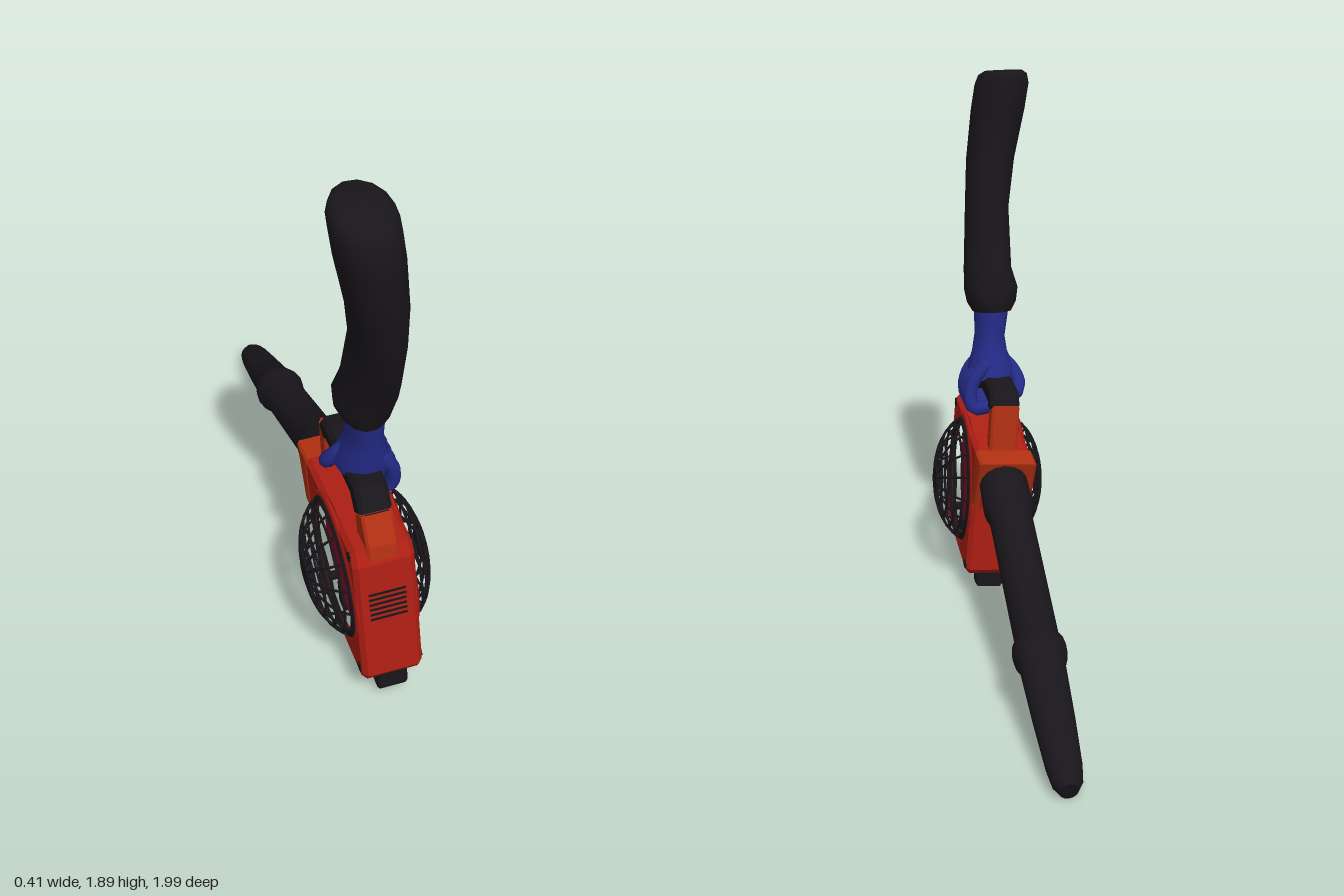
import * as THREE from 'three';
import { toCreasedNormals } from 'three/addons/utils/BufferGeometryUtils.js';

const V = (x, y, z) => new THREE.Vector3(x, y, z);
const mat = (color) => new THREE.MeshStandardMaterial({ color });
const black = mat(0x19161b), red = mat(0xb01f14), orange = mat(0xb23012);
const crimson = mat(0x7d1228), blue = mat(0x252b88);

function add(parent, name, geometry, material, x = 0, y = 0, z = 0) {
  const m = new THREE.Mesh(geometry, material);
  m.name = name;
  m.position.set(x, y, z);
  parent.add(m);
  return m;
}

// Closed skin over elliptical sections [x, y, z, radius along u, radius along v]
function loft(sections, u, v, n = 16, crease = 0.8) {
  const pos = [], index = [];
  const axis = V(...sections.at(-1).slice(0, 3)).sub(V(...sections[0].slice(0, 3)));
  const flip = u.clone().cross(v).dot(axis) < 0;
  const tri = (a, b, c) => index.push(...(flip ? [a, c, b] : [a, b, c]));
  sections.forEach(([x, y, z, ra, rb]) => {
    for (let i = 0; i < n; i++) {
      const a = (i / n) * Math.PI * 2;
      const p = V(x, y, z).addScaledVector(u, ra * Math.cos(a)).addScaledVector(v, rb * Math.sin(a));
      pos.push(p.x, p.y, p.z);
    }
  });
  const last = sections.length - 1, first = sections.length * n;
  pos.push(...sections[0].slice(0, 3), ...sections[last].slice(0, 3));
  for (let i = 0; i < n; i++) {
    const j = (i + 1) % n;
    for (let k = 0; k < last; k++) {
      const a = k * n + i, b = k * n + j;
      tri(a, b, b + n);
      tri(a, b + n, a + n);
    }
    tri(first, j, i);
    tri(first + 1, last * n + i, last * n + j);
  }
  const g = new THREE.BufferGeometry();
  g.setAttribute('position', new THREE.Float32BufferAttribute(pos, 3));
  g.setIndex(index);
  return toCreasedNormals(g, crease);
}

// Side outline of [z, y] points, extruded across x with bevelled edges
function slab(points, width, bevel, hole) {
  const shape = new THREE.Shape(points.map(([z, y]) => new THREE.Vector2(z, y)));
  if (hole) shape.holes.push(new THREE.Path().absarc(...hole, 0, Math.PI * 2, true));
  const g = new THREE.ExtrudeGeometry(shape, {
    depth: width - 2 * bevel, bevelEnabled: true, bevelThickness: bevel,
    bevelSize: bevel, bevelOffset: -bevel, bevelSegments: 1, curveSegments: 16,
  });
  g.translate(0, 0, -(width - 2 * bevel) / 2);
  return g.rotateY(-Math.PI / 2);
}

// Rounded finger along a path
function finger(parent, name, points, r) {
  const curve = new THREE.CatmullRomCurve3(points);
  add(parent, name, new THREE.TubeGeometry(curve, 12, r, 8), blue);
  for (const p of [points[0], points.at(-1)])
    add(parent, name + 'End', new THREE.SphereGeometry(r, 8, 6), blue, p.x, p.y, p.z);
}

const FAN = { y: 0.385, z: 0.633 };

// Domed wire guard, built facing +z and turned to one side
function fanGuard(side) {
  const g = new THREE.Group();
  g.name = side > 0 ? 'leftFanGuard' : 'rightFanGuard';
  const height = (r) => 0.07 + 0.13 * Math.sqrt(Math.max(0, 1 - (r / 0.235) ** 2));
  add(g, 'guardRim', new THREE.TorusGeometry(0.222, 0.013, 6, 16), black, 0, 0, 0.1);
  add(g, 'raisedSurround', new THREE.TorusGeometry(0.246, 0.012, 4, 32), red, 0, 0, 0.095);
  for (const r of [0.1, 0.145, 0.185, 0.21])
    add(g, 'guardRing', new THREE.TorusGeometry(r, 0.0045, 5, 32), black, 0, 0, height(r));
  for (let i = 0; i < 16; i++) {
    const a = (i / 16) * Math.PI * 2;
    const pts = [0.03, 0.09, 0.14, 0.18, 0.21, 0.226].map(
      (r) => V(r * Math.cos(a), r * Math.sin(a), height(r)));
    add(g, 'guardSpoke', new THREE.TubeGeometry(new THREE.CatmullRomCurve3(pts), 10, 0.0045, 5), black);
  }
  add(g, 'guardHub', new THREE.CylinderGeometry(0.052, 0.056, 0.014, 16).rotateX(Math.PI / 2), black, 0, 0, 0.194);
  // Fan face recessed into the housing
  add(g, 'fanDisc', new THREE.CylinderGeometry(0.225, 0.225, 0.01, 32).rotateX(Math.PI / 2), crimson, 0, 0, 0.06);
  g.position.set(0, FAN.y, FAN.z);
  g.rotation.y = side * Math.PI / 2;
  return g;
}

function blower() {
  const g = new THREE.Group();
  g.name = 'blowerBody';
  // Housing with the air outlet
  add(g, 'housing', slab([
    [0.895, 0.12], [0.42, 0.088], [0.398, 0.11], [0.375, 0.4], [0.31, 0.4],
    [0.245, 0.595], [0.77, 0.643], [0.855, 0.648], [0.882, 0.6], [0.915, 0.15],
  ], 0.2, 0.016, [FAN.z, FAN.y, 0.215]), red);
  add(g, 'outletCover', slab([[0.37, 0.402], [0.312, 0.398], [0.242, 0.597], [0.35, 0.608]], 0.206, 0.008), orange);
  g.add(fanGuard(1), fanGuard(-1));

  // Handle posts and grip
  add(g, 'frontHandlePost', slab([[0.878, 0.61], [0.87, 0.66], [0.822, 0.76], [0.75, 0.71], [0.76, 0.61]], 0.1, 0.008), orange);
  add(g, 'backHandlePost', slab([[0.353, 0.59], [0.422, 0.59], [0.426, 0.74], [0.362, 0.775]], 0.1, 0.008), orange);
  add(g, 'handleGrip', slab([
    [0.825, 0.755], [0.775, 0.83], [0.41, 0.82], [0.362, 0.765],
    [0.426, 0.73], [0.45, 0.752], [0.715, 0.758], [0.755, 0.7],
  ], 0.106, 0.014), black);

  // Feet
  for (const [z, y] of [[0.865, 0.05], [0.475, 0.02]])
    add(g, 'foot', slab([[z - 0.03, y], [z + 0.025, y], [z + 0.04, y + 0.02], [z + 0.036, y + 0.1], [z - 0.036, y + 0.1]], 0.1, 0.008), black);

  // Corner screws on both sides
  for (const [z, y] of [[0.838, 0.618], [0.878, 0.165], [0.425, 0.125]])
    add(g, 'screw', new THREE.CylinderGeometry(0.016, 0.016, 0.208, 10).rotateZ(Math.PI / 2), black, 0, y, z);

  // Front vent slots
  for (let i = 0; i < 6; i++)
    add(g, 'ventSlot', new THREE.BoxGeometry(0.12, 0.007, 0.006), black, 0, 0.385 + i * 0.02, 0.8975 - i * 0.0014);

  // Lean about the middle of the housing
  g.rotation.z = 0.07;
  g.position.set(0.37 * Math.sin(0.07), 0.37 * (1 - Math.cos(0.07)), 0);
  return g;
}

export function createModel() {
  const model = new THREE.Group();
  model.name = 'handHeldBlower';
  model.add(blower());

  // Blowing tube with its two collars: [distance, radius across, radius up]
  const start = V(-0.002, 0.513, 0.285), end = V(0.025, 0.045, -0.985);
  const tubeUp = V(0, 1.27, -0.468).normalize();
  const tube = [
    [0, 0.086, 0.086], [0.1, 0.09, 0.088], [0.118, 0.086, 0.084], [0.14, 0.077, 0.077],
    [0.56, 0.075, 0.072], [0.575, 0.086, 0.083], [0.6, 0.091, 0.088], [0.625, 0.086, 0.083],
    [0.645, 0.076, 0.068], [0.8, 0.068, 0.058], [0.93, 0.058, 0.047], [0.98, 0.048, 0.041], [1, 0.03, 0.034],
  ].map(([t, a, b]) => [...start.clone().lerp(end, t).toArray(), a, b]);
  add(model, 'blowingTube', loft(tube, V(1, 0, 0), tubeUp, 16), black);

  // Sleeved arm
  add(model, 'sleeve', loft([
    [-0.03, 1.04, 0.67, 0.072, 0.092], [-0.03, 1.075, 0.675, 0.092, 0.102],
    [-0.03, 1.12, 0.687, 0.1, 0.106], [-0.022, 1.19, 0.713, 0.089, 0.11],
    [-0.035, 1.4, 0.805, 0.081, 0.12], [-0.058, 1.57, 0.855, 0.09, 0.114],
    [-0.09, 1.75, 0.871, 0.1, 0.128], [-0.105, 1.84, 0.873, 0.1, 0.127],
    [-0.108, 1.875, 0.868, 0.09, 0.115], [-0.11, 1.89, 0.862, 0.068, 0.09],
  ], V(1, 0, 0), V(0, -0.18, 1), 14, 1.0), black);

  // Gloved hand over the grip
  const hand = new THREE.Group();
  hand.name = 'glovedHand';
  model.add(hand);
  add(hand, 'palm', loft([
    [-0.028, 1.08, 0.675, 0.062, 0.092], [-0.026, 1.03, 0.67, 0.062, 0.092],
    [-0.018, 0.95, 0.657, 0.056, 0.082], [-0.016, 0.89, 0.647, 0.066, 0.085],
    [-0.016, 0.84, 0.632, 0.085, 0.096], [-0.016, 0.8, 0.62, 0.085, 0.096],
  ], V(1, 0, 0), V(0, -0.12, 1), 14), blue);
  for (const z of [0.69, 0.647, 0.604, 0.562])
    finger(hand, 'finger', [
      V(0.015, 0.86, z), V(0.058, 0.81, z - 0.01), V(0.075, 0.755, z - 0.02),
      V(0.062, 0.71, z - 0.03), V(0.015, 0.712, z - 0.03),
    ], 0.026);
  finger(hand, 'thumb', [
    V(-0.04, 0.885, 0.625), V(-0.09, 0.835, 0.61), V(-0.113, 0.785, 0.58), V(-0.1, 0.76, 0.545),
  ], 0.026);
  return model;
}
